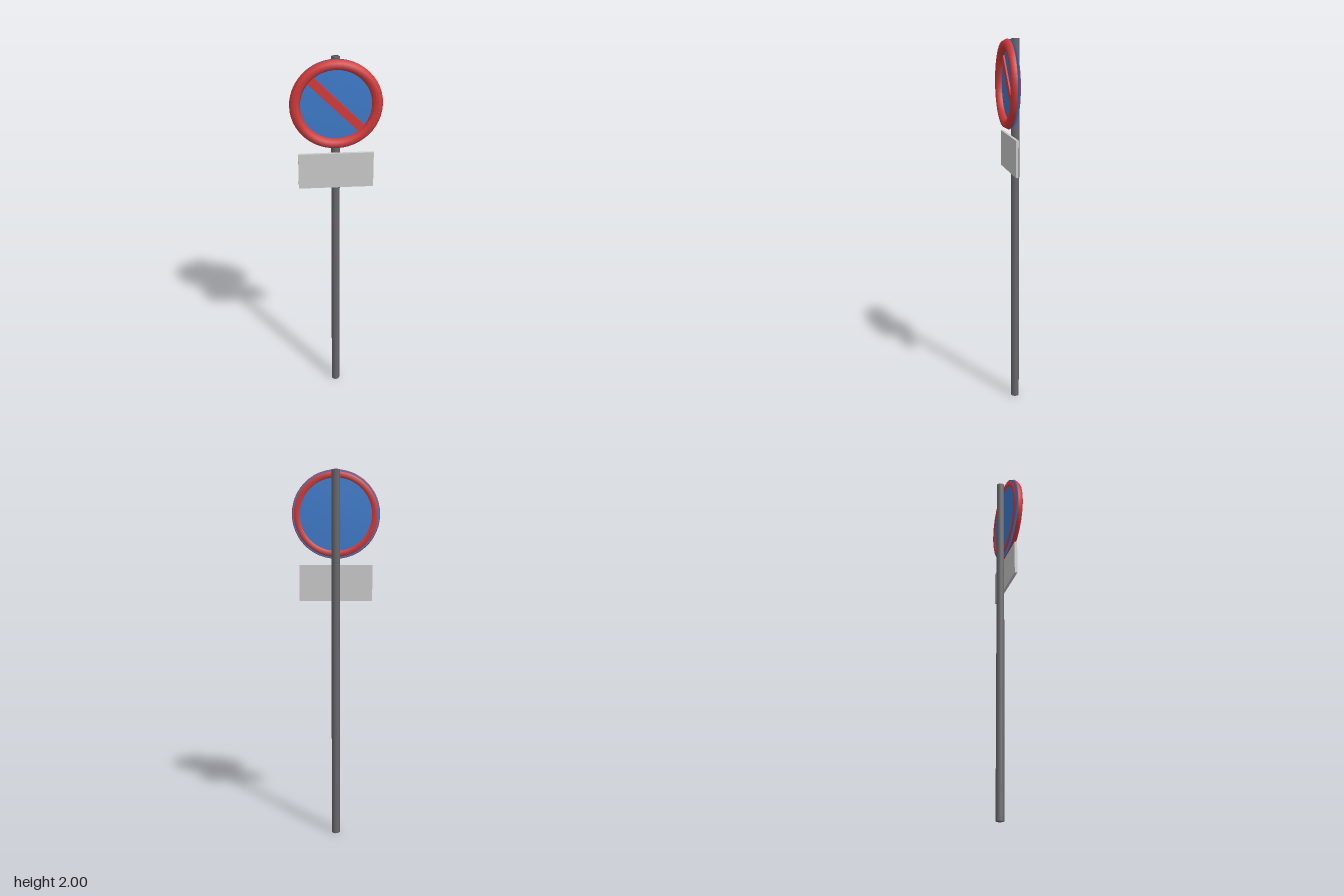
import * as THREE from 'three';

const RED = 0xd63c3c, BLUE = 0x3f7ccb, POLE = 0x68686d, GREY = 0xcccccc;
const SIGN_Y = 1.766;

function part(name, geometry, color, x, y, z) {
  const mesh = new THREE.Mesh(geometry, new THREE.MeshStandardMaterial({ color }));
  mesh.name = name;
  mesh.position.set(x, y, z);
  return mesh;
}

// Closed cylinder standing on y = 0, with normals blended over its rims
function softCylinder(radius, height, sides) {
  const profile = [[0, 0], [radius, 0], [radius, height], [0, height]];
  return new THREE.LatheGeometry(profile.map(([r, y]) => new THREE.Vector2(r, y)), sides);
}

export function createModel() {
  const group = new THREE.Group();
  group.name = 'roadSign';

  // Octagonal post
  group.add(part('pole', softCylinder(0.0225, 2, 8), POLE, 0, 0, -0.0225));

  // Round sign: blue disc, hexagonal-section rim, diagonal bar
  const sign = new THREE.Group();
  sign.name = 'roundSign';
  sign.position.y = SIGN_Y;
  const disc = softCylinder(0.23, 0.0125, 48).rotateX(Math.PI / 2);
  sign.add(part('disc', disc, BLUE, 0, 0, 0));
  sign.add(part('rim', new THREE.TorusGeometry(0.207, 0.027, 6, 48), RED, 0, 0, 0.0195));
  const bar = part('diagonalBar', new THREE.BoxGeometry(0.38, 0.045, 0.015), RED, 0, 0, 0.0135);
  bar.rotation.z = -Math.PI / 4;
  sign.add(bar);
  group.add(sign);

  // Blank plate below the sign
  group.add(part('plate', new THREE.BoxGeometry(0.39, 0.193, 0.015), GREY, 0, 1.403, 0.0085));

  return group;
}
